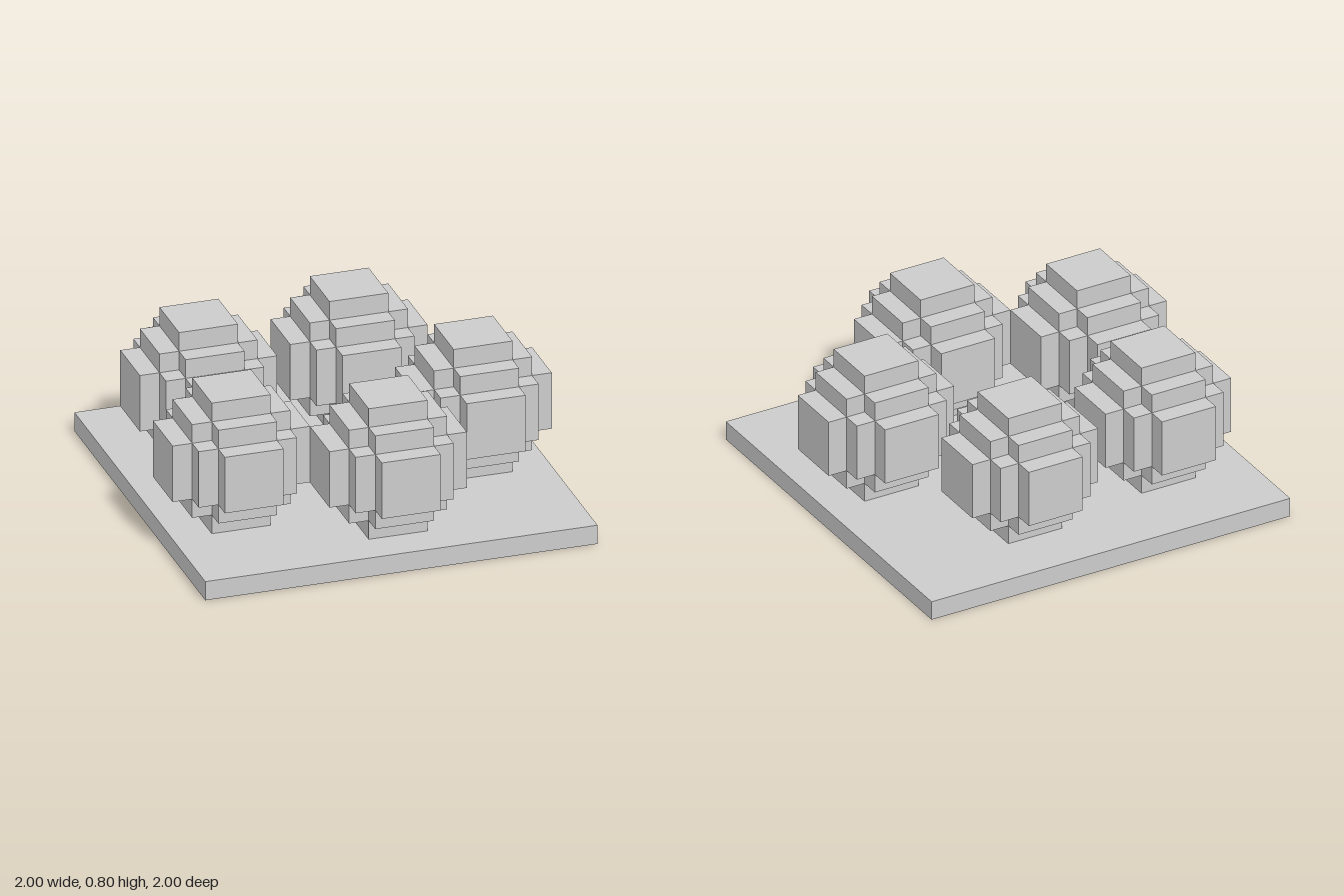
import * as THREE from 'three';

const UNIT = 0.1; // edge of one block
const material = new THREE.MeshStandardMaterial({ color: 0xcccccc, flatShading: true });

// Stepped outline: one corner's points, turned through four quarters
function steppedOutline(corner) {
  const points = [];
  let quarter = corner;
  for (let i = 0; i < 4; i++) {
    points.push(...quarter.map(([x, y]) => new THREE.Vector2(x * UNIT, y * UNIT)));
    quarter = quarter.map(([x, y]) => [-y, x]);
  }
  return new THREE.Shape(points);
}

const small = steppedOutline([[1.5, 1.5]]);
const cross = steppedOutline([[2.5, 1.5], [1.5, 1.5], [1.5, 2.5]]);
const wide = steppedOutline([[3.5, 1.5], [2.5, 1.5], [2.5, 2.5], [1.5, 2.5], [1.5, 3.5]]);

// Layers of a blocky ball, from the bottom: name, outline, height in blocks
const layers = [
  ['foot', small, 1],
  ['lowerStep', cross, 1],
  ['middle', wide, 3],
  ['upperStep', cross, 1],
  ['cap', small, 1],
];

function createBall(x, z) {
  const ball = new THREE.Group();
  ball.name = 'blockBall';
  let y = 0;
  for (const [name, outline, height] of layers) {
    const geometry = new THREE.ExtrudeGeometry(outline, { depth: height * UNIT, bevelEnabled: false });
    geometry.rotateX(-Math.PI / 2);
    const mesh = new THREE.Mesh(geometry, material);
    mesh.name = name;
    mesh.position.y = y;
    ball.add(mesh);
    y += height * UNIT;
  }
  ball.position.set(x, UNIT, z);
  return ball;
}

export function createModel() {
  const model = new THREE.Group();
  model.name = 'blockBallsOnSlab';

  // Square slab
  const slab = new THREE.Mesh(new THREE.BoxGeometry(2, UNIT, 2), material);
  slab.name = 'slab';
  slab.position.y = UNIT / 2;
  model.add(slab);

  // Five balls scattered over the slab
  const places = [[-0.55, -0.45], [0.25, -0.55], [0.65, 0.15], [-0.65, 0.35], [0.05, 0.65]];
  for (const [x, z] of places) model.add(createBall(x, z));

  return model;
}
